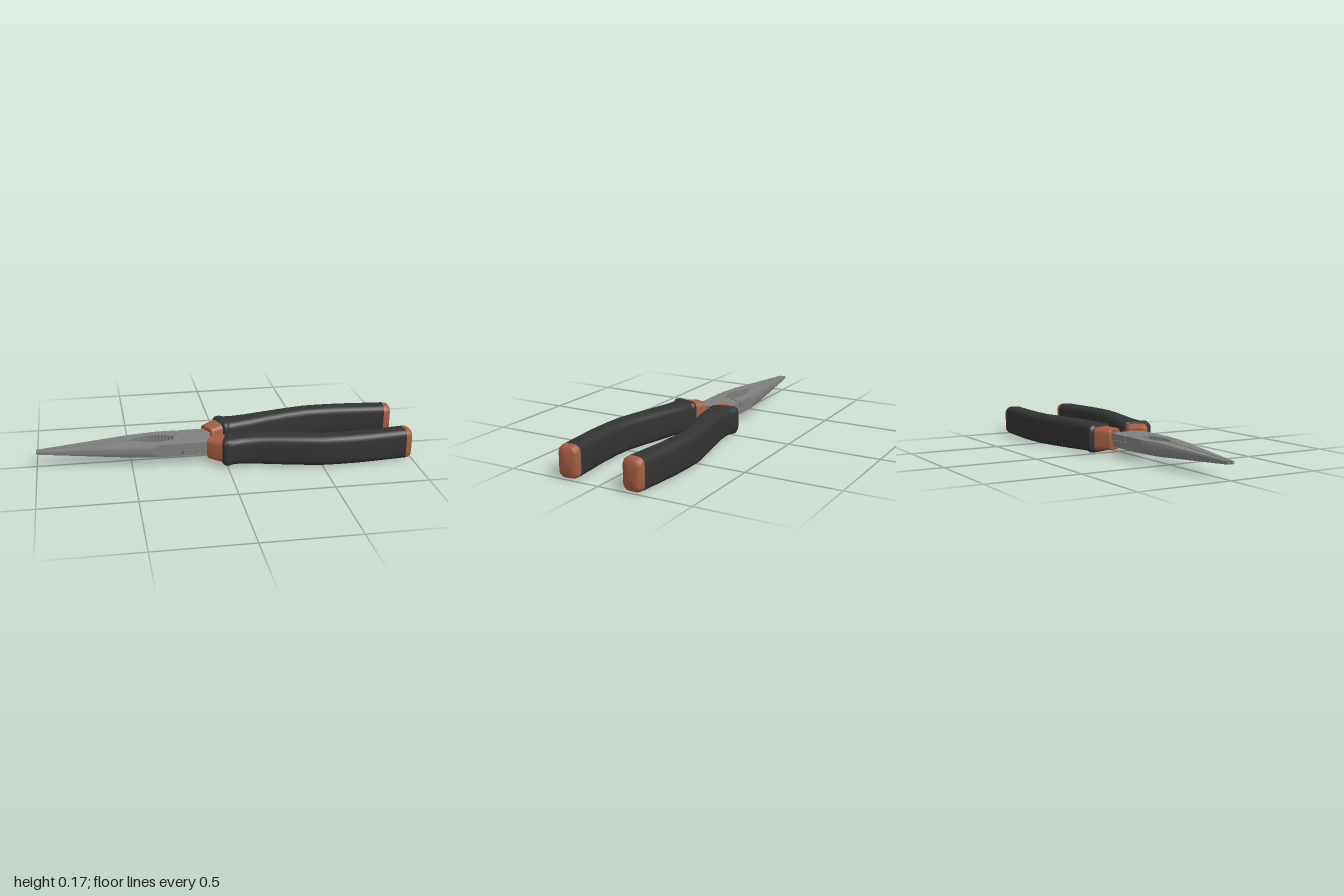
import * as THREE from 'three';
import { toCreasedNormals } from 'three/addons/utils/BufferGeometryUtils.js';

const mat = (name, color) => new THREE.MeshStandardMaterial({ name, color });

// Skin a list of equal-length rings (advancing along +x) and close both ends
function loft(rings, crease = 0.6) {
  const n = rings[0].length, pos = [];
  const tri = (...pts) => pts.forEach((p) => pos.push(p.x, p.y, p.z));
  for (let i = 0; i < rings.length - 1; i++) {
    for (let j = 0; j < n; j++) {
      const k = (j + 1) % n;
      const a = rings[i][j], b = rings[i][k], c = rings[i + 1][j], d = rings[i + 1][k];
      tri(a, b, c);
      tri(b, d, c);
    }
  }
  for (const [ring, isEnd] of [[rings[0], false], [rings[rings.length - 1], true]]) {
    const mid = ring.reduce((s, p) => s.add(p), new THREE.Vector3()).divideScalar(n);
    for (let j = 0; j < n; j++) {
      const k = (j + 1) % n;
      if (isEnd) tri(mid, ring[j], ring[k]);
      else tri(mid, ring[k], ring[j]);
    }
  }
  const g = new THREE.BufferGeometry();
  g.setAttribute('position', new THREE.Float32BufferAttribute(pos, 3));
  return toCreasedNormals(g, crease);
}

// Rounded rectangle ring from a station: x, z, half width, half height, turn, corner radius
function gripRing([x, z, w, h, turn, r]) {
  const ring = [], sin = Math.sin(turn), cos = Math.cos(turn);
  for (let q = 0; q < 4; q++) {
    const su = q === 0 || q === 3 ? 1 : -1, sv = q < 2 ? 1 : -1;
    for (let s = 0; s <= 5; s++) {
      const t = (q + s / 5) * Math.PI / 2;
      const u = su * (w - r) + r * Math.cos(t);
      const v = sv * (h - r) + r * Math.sin(t);
      ring.push(new THREE.Vector3(x - u * sin, v, z - u * cos));
    }
  }
  return ring;
}

// Flat plate outlined in x/z and standing from y0 to y1
function plate(points, y0, y1) {
  const shape = new THREE.Shape(points.map(([x, z]) => new THREE.Vector2(x, -z)));
  const g = new THREE.ExtrudeGeometry(shape, { depth: y1 - y0, bevelEnabled: false });
  return g.rotateX(-Math.PI / 2).translate(0, y0, 0);
}

// Jaw: a cone flattened above and below, blending into a square shank
function jawRing(x, inner) {
  const h = 0.007 + 0.028 * Math.min(1, (x + 1) / 0.5);
  const R = 0.018 + 0.128 * (x + 1);
  const ring = [new THREE.Vector3(x, -h, inner), new THREE.Vector3(x, h, inner)];
  for (let i = 0; i <= 12; i++) {
    const y = h * (1 - i / 6);
    ring.push(new THREE.Vector3(x, y, Math.min(0.095, Math.sqrt(R * R - y * y))));
  }
  return ring;
}

function jawGeometry() {
  const rings = [];
  for (let i = 0; i <= 10; i++) rings.push(jawRing(-1 + i * 0.0495, 0.003));
  // Toothed pipe-grip recess
  const steps = 26;
  for (let i = 0; i <= steps; i++) {
    const t = i / steps;
    const inner = 0.004 + 0.04 * Math.sin(Math.PI * Math.min(1, t * 0.87)) + (i % 2 ? 0.005 : 0);
    rings.push(jawRing(-0.5 + 0.23 * t, inner));
  }
  return loft(rings, 0.35);
}

export function createModel() {
  const steel = mat('steel', 0x808080);
  const rubber = mat('black rubber', 0x333333);
  const accent = mat('copper orange rubber', 0xa55d41);

  const collar = [
    [-0.08, -0.069, 0.048, 0.052, 0.47, 0.022],
    [-0.076, -0.071, 0.052, 0.056, 0.47, 0.024],
    [-0.03, -0.098, 0.058, 0.061, 0.4, 0.026],
    [0.005, -0.116, 0.064, 0.065, 0.3, 0.028],
  ];
  const grip = [
    [-0.01, -0.113, 0.066, 0.066, 0.32, 0.03],
    [0.0, -0.117, 0.078, 0.074, 0.28, 0.032],
    [0.018, -0.12, 0.08, 0.076, 0.24, 0.032],
    [0.036, -0.119, 0.071, 0.073, 0.16, 0.032],
    [0.07, -0.117, 0.067, 0.075, 0.07, 0.034],
    [0.15, -0.125, 0.062, 0.079, 0.14, 0.034],
    [0.25, -0.147, 0.057, 0.082, 0.22, 0.034],
    [0.38, -0.178, 0.054, 0.083, 0.22, 0.034],
    [0.5, -0.202, 0.053, 0.083, 0.1, 0.034],
    [0.6, -0.205, 0.053, 0.083, 0, 0.034],
    [0.715, -0.202, 0.053, 0.083, -0.06, 0.034],
    [0.84, -0.191, 0.053, 0.083, -0.09, 0.034],
    [0.958, -0.18, 0.054, 0.083, -0.09, 0.034],
  ];
  const endCap = [
    [0.958, -0.18, 0.054, 0.083, -0.09, 0.034],
    [0.978, -0.178, 0.053, 0.081, -0.09, 0.034],
    [0.99, -0.177, 0.047, 0.076, -0.09, 0.032],
    [0.996, -0.176, 0.037, 0.066, -0.09, 0.028],
  ];

  // Solid shoulder behind the jaw, and the half-height lap that crosses to the other side
  const shoulder = [[-0.27, 0.02], [-0.27, 0.095], [-0.235, 0.095], [-0.248, 0.055]];
  const lap = [
    [-0.27, 0.02], [-0.27, 0.095], [-0.1, 0.095], [-0.07, 0.03], [-0.07, -0.025],
    [-0.045, -0.07], [-0.06, -0.09], [-0.09, -0.095], [-0.228, -0.095],
    [-0.241, -0.055], [-0.263, -0.02],
  ];

  const parts = [
    ['jaw', jawGeometry(), steel],
    ['jawShoulder', plate(shoulder, -0.035, 0.035), steel],
    ['pivotLap', plate(lap, 0.0007, 0.035), steel],
    ['handleCollar', loft(collar.map(gripRing)), accent],
    ['handleGrip', loft(grip.map(gripRing)), rubber],
    ['handleEndCap', loft(endCap.map(gripRing), 0.9), accent],
  ];

  // The two halves are the same piece turned over about the long axis
  const model = new THREE.Group();
  model.name = 'needleNosePliers';
  for (const [name, turn] of [['frontJawHalf', 0], ['backJawHalf', Math.PI]]) {
    const half = new THREE.Group();
    half.name = name;
    for (const [part, geometry, material] of parts) {
      const mesh = new THREE.Mesh(geometry, material);
      mesh.name = part;
      half.add(mesh);
    }
    half.rotation.x = turn;
    half.position.y = 0.083;
    model.add(half);
  }
  return model;
}
